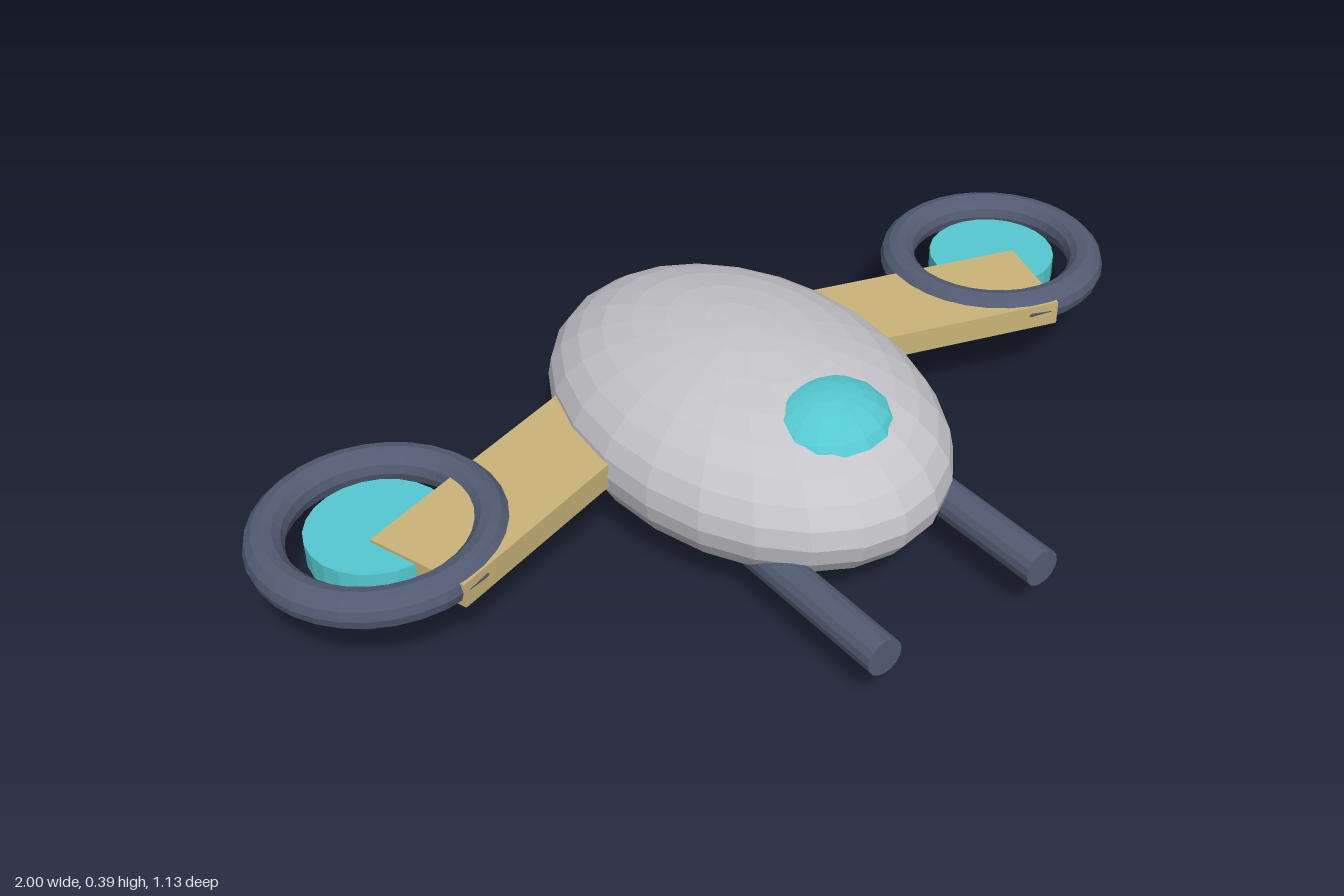
import * as THREE from 'three';

function material(name, color) {
  const m = new THREE.MeshStandardMaterial({ color, flatShading: true });
  m.name = name;
  return m;
}

export function createModel() {
  const model = new THREE.Group();
  model.name = 'droneShip';
  const hullGrey = material('hullGrey', 0xc4c4c9);
  const wingTan = material('wingTan', 0xc9b478);
  const slate = material('slate', 0x525b72);
  const cyan = material('cyan', 0x55c8d0);

  function add(parent, name, geometry, mat, x, y, z) {
    const mesh = new THREE.Mesh(geometry, mat);
    mesh.name = name;
    mesh.position.set(x, y, z);
    parent.add(mesh);
    return mesh;
  }

  // Egg-shaped hull and the canopy bulging out of its nose
  const hull = new THREE.SphereGeometry(1, 24, 16).scale(0.34, 0.197, 0.483);
  add(model, 'hull', hull, hullGrey, 0, 0.2, -0.08);
  const canopy = new THREE.SphereGeometry(1, 16, 12).scale(0.138, 0.085, 0.133);
  add(model, 'canopy', canopy, cyan, 0, 0.3, 0.165);

  for (const side of [1, -1]) {
    const prefix = side > 0 ? 'left' : 'right';
    const group = new THREE.Group();
    group.name = prefix + 'Side';
    model.add(group);

    // Wing: a flat plank swept forward towards its tip
    const wing = new THREE.BoxGeometry(0.6, 0.052, 0.22);
    const angle = THREE.MathUtils.degToRad(18);
    const cx = 0.756 - 0.3 * Math.cos(angle);
    const cz = -0.045 - 0.3 * Math.sin(angle);
    add(group, prefix + 'Wing', wing, wingTan, side * cx, 0.204, cz).rotation.y = -side * angle;

    // Rotor ring with a disc in the middle
    const ring = new THREE.TorusGeometry(0.205, 0.0375, 12, 32).rotateX(Math.PI / 2);
    add(group, prefix + 'RotorRing', ring, slate, side * 0.757, 0.21, -0.182);
    const disc = new THREE.CylinderGeometry(0.135, 0.135, 0.052, 24);
    add(group, prefix + 'RotorDisc', disc, cyan, side * 0.757, 0.198, -0.182);

    // Forward barrel
    const barrel = new THREE.CylinderGeometry(0.038, 0.038, 0.45, 16).rotateX(Math.PI / 2);
    add(group, prefix + 'Barrel', barrel, slate, side * 0.19, 0.125, 0.34);
  }
  return model;
}
